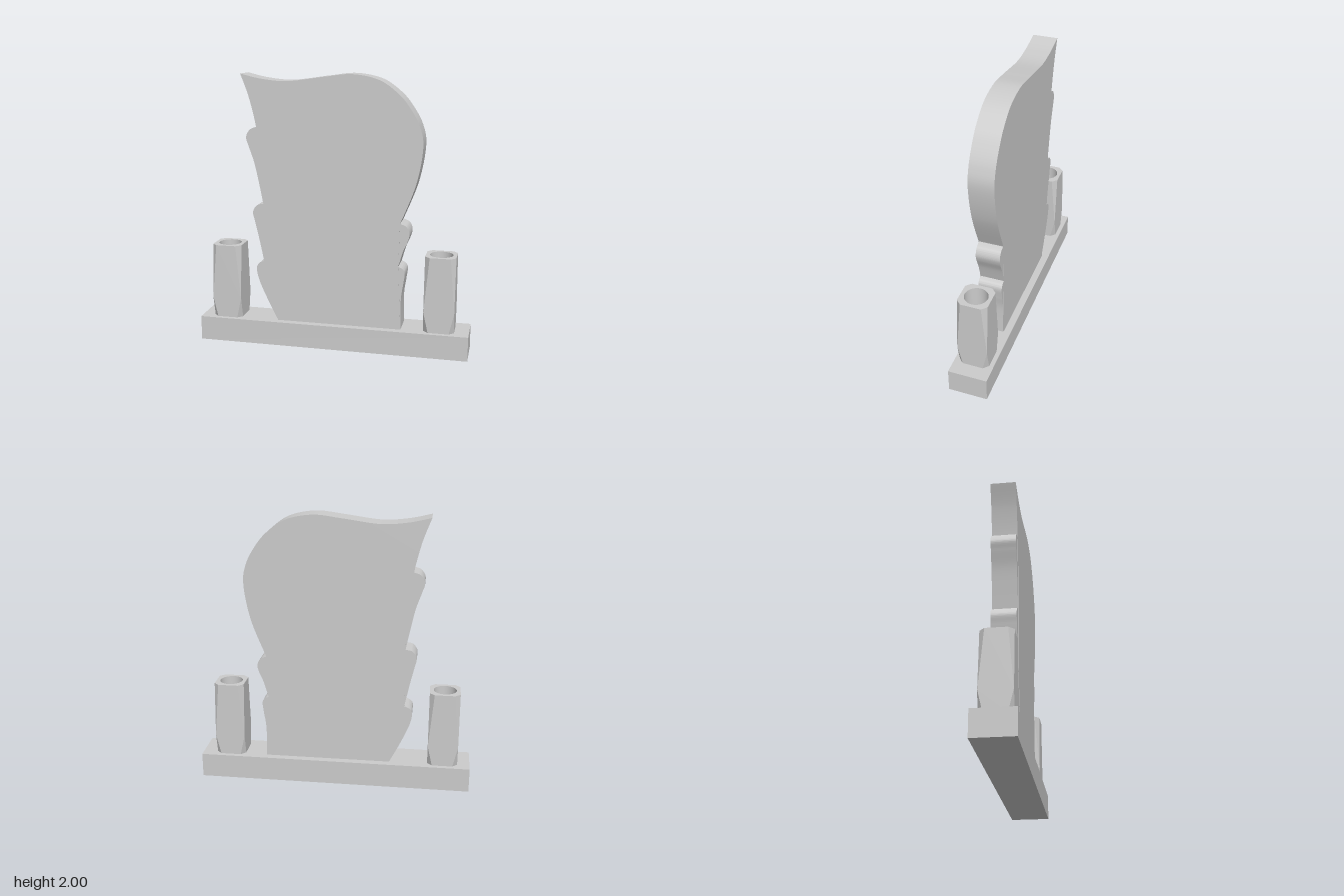
import * as THREE from 'three';
import { toCreasedNormals } from 'three/addons/utils/BufferGeometryUtils.js';

const BASE_TOP = 0.18;
const material = new THREE.MeshStandardMaterial({ color: 0xcccccc });

function addMesh(parent, geometry, name) {
  const mesh = new THREE.Mesh(geometry, material);
  mesh.name = name;
  parent.add(mesh);
  return mesh;
}

// Extrude an outline made of smooth runs; runs meet at sharp corners.
function plate(runs, zBack, zFront) {
  const shape = new THREE.Shape();
  shape.moveTo(...runs[0][0]);
  for (const run of runs) {
    const points = run.slice(1).map(([x, y]) => new THREE.Vector2(x, y));
    if (points.length === 1) shape.lineTo(points[0].x, points[0].y);
    else shape.splineThru(points);
  }
  const geometry = new THREE.ExtrudeGeometry(shape, {
    depth: zFront - zBack, bevelEnabled: false, curveSegments: 32,
  });
  geometry.translate(0, 0, zBack);
  return toCreasedNormals(geometry, 0.5);
}

// Square with cut corners, listed counter-clockwise in (x, z).
function octagon(half, cut) {
  const a = half - cut;
  return [[half, -a], [half, a], [a, half], [-a, half],
    [-half, a], [-half, -a], [-a, -half], [a, -half]];
}

// Faceted vase: corner cuts vanish at the belly and widen to both ends.
function createVase(x, name) {
  const vase = new THREE.Group();
  vase.name = name;
  vase.position.set(x, BASE_TOP, 0);
  const half = 0.11, height = 0.555, holeRadius = 0.083, holeDepth = 0.35;
  const rings = [[0, 0.035], [0.15, 0.0005], [height, 0.036]];
  const positions = [];
  const point = (r, i) => {
    const [px, pz] = octagon(half, rings[r][1])[i % 8];
    return [px, rings[r][0], pz];
  };
  for (let r = 0; r < 2; r++) {
    for (let i = 0; i < 8; i++) {
      const a = point(r, i), b = point(r, i + 1);
      const c = point(r + 1, i + 1), d = point(r + 1, i);
      positions.push(...a, ...c, ...b, ...a, ...d, ...c);
    }
  }
  const body = new THREE.BufferGeometry();
  body.setAttribute('position', new THREE.Float32BufferAttribute(positions, 3));
  body.computeVertexNormals();
  addMesh(vase, body, 'vaseBody');

  // Rim with a round opening
  const rimShape = new THREE.Shape(
    octagon(half, 0.036).map(([px, pz]) => new THREE.Vector2(px, pz)));
  rimShape.holes.push(new THREE.Path().absarc(0, 0, holeRadius, 0, Math.PI * 2, true));
  const rim = new THREE.ShapeGeometry(rimShape, 24);
  rim.rotateX(-Math.PI / 2);
  rim.translate(0, height, 0);
  addMesh(vase, rim, 'vaseRim');

  // Inner wall and floor of the opening, facing inwards
  const hole = new THREE.LatheGeometry([
    new THREE.Vector2(holeRadius, height),
    new THREE.Vector2(holeRadius, height - holeDepth),
    new THREE.Vector2(0, height - holeDepth),
  ], 48);
  addMesh(vase, toCreasedNormals(hole, 0.6), 'vaseOpening');
  return vase;
}

export function createModel() {
  const model = new THREE.Group();
  model.name = 'memorial';

  const base = addMesh(model, new THREE.BoxGeometry(2, BASE_TOP, 0.285), 'base');
  base.position.y = BASE_TOP / 2;

  // Main slab with its sweeping top
  const slab = [
    [[-0.41, BASE_TOP], [0.51, BASE_TOP]],
    [[0.51, BASE_TOP], [0.487, 0.65]],
    [[0.487, 0.65], [0.495, 0.965]],
    [[0.495, 0.965], [0.6, 1.24], [0.645, 1.5], [0.62, 1.65], [0.545, 1.785],
      [0.46, 1.88], [0.33, 1.965], [0.145, 2], [-0.05, 1.98], [-0.31, 1.947],
      [-0.5, 1.96], [-0.66, 1.995]],
    [[-0.66, 1.995], [-0.6, 1.83], [-0.55, 1.62], [-0.52, 1.4], [-0.506, 1.2],
      [-0.505, 1.05], [-0.512, 0.8], [-0.51, 0.63]],
    [[-0.51, 0.63], [-0.41, BASE_TOP]],
  ];
  addMesh(model, plate(slab, -0.09, 0.09), 'slab');

  // Carved lobes along both edges, a hair behind the slab's faces
  const lobes = {
    leftLobeUpper: [
      [[-0.47, 1.06], [-0.47, 1.62]],
      [[-0.47, 1.62], [-0.55, 1.62]],
      [[-0.55, 1.62], [-0.6, 1.6], [-0.628, 1.545], [-0.61, 1.48], [-0.57, 1.36],
        [-0.535, 1.2], [-0.508, 1.06]],
    ],
    leftLobeMiddle: [
      [[-0.47, 0.63], [-0.47, 1.06]],
      [[-0.47, 1.06], [-0.508, 1.06]],
      [[-0.508, 1.06], [-0.555, 1.05], [-0.588, 1.0], [-0.575, 0.93], [-0.545, 0.8],
        [-0.51, 0.63]],
    ],
    leftLobeLower: [
      [[-0.41, BASE_TOP], [-0.41, 0.63]],
      [[-0.41, 0.63], [-0.51, 0.63]],
      [[-0.51, 0.63], [-0.55, 0.61], [-0.568, 0.57], [-0.55, 0.48], [-0.49, 0.34],
        [-0.41, BASE_TOP]],
    ],
    rightLobeUpper: [
      [[0.45, 0.965], [0.45, 0.65]],
      [[0.45, 0.65], [0.487, 0.65]],
      [[0.487, 0.65], [0.52, 0.765], [0.555, 0.85], [0.562, 0.9], [0.54, 0.945],
        [0.495, 0.965]],
    ],
    rightLobeLower: [
      [[0.45, 0.65], [0.45, BASE_TOP]],
      [[0.45, BASE_TOP], [0.511, BASE_TOP]],
      [[0.511, BASE_TOP], [0.51, 0.4], [0.525, 0.52], [0.534, 0.6], [0.518, 0.635],
        [0.487, 0.65]],
    ],
  };
  for (const [name, runs] of Object.entries(lobes)) {
    addMesh(model, plate(runs, -0.088, 0.087), name);
  }

  model.add(createVase(-0.8, 'rightVase'), createVase(0.785, 'leftVase'));
  return model;
}
